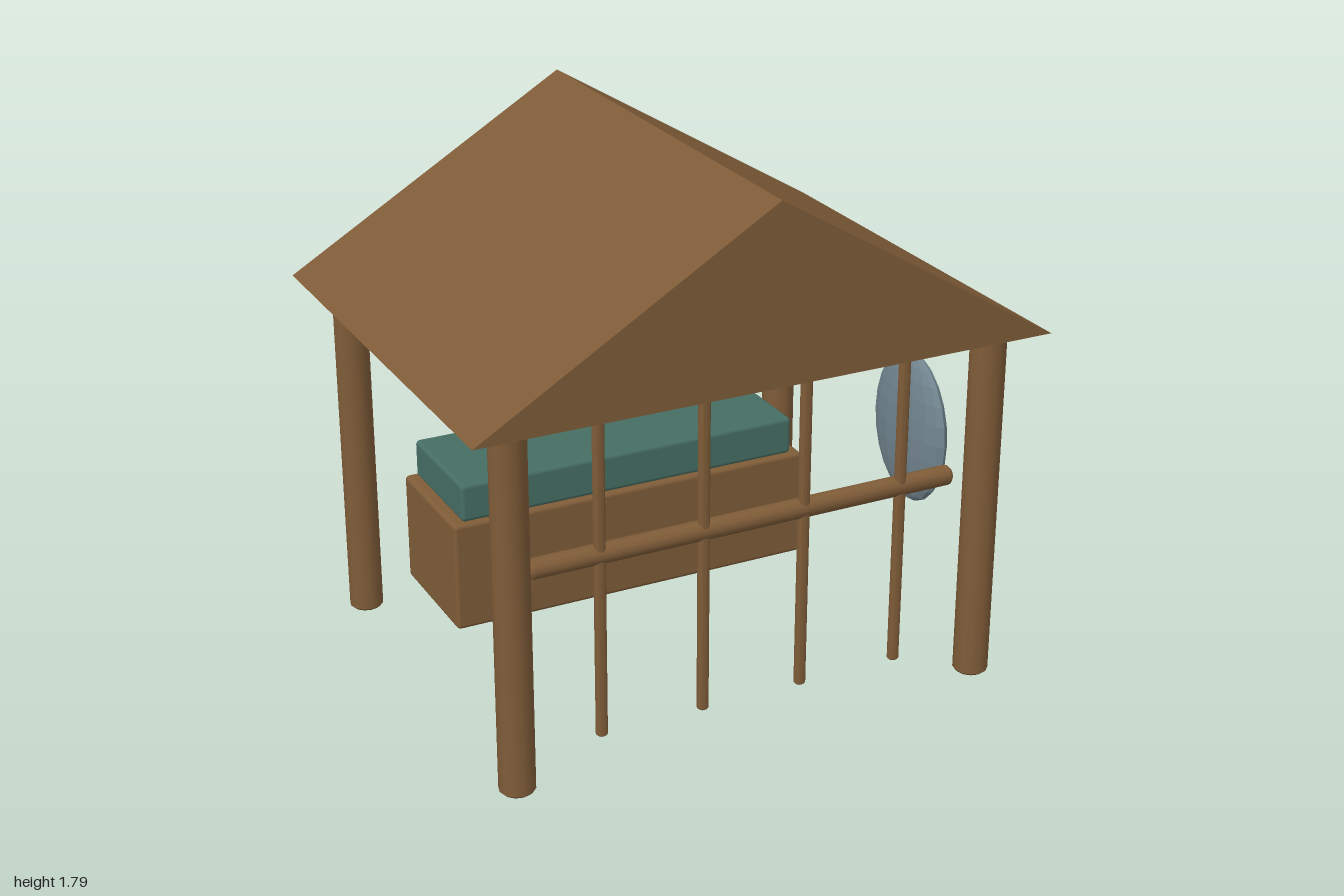
import * as THREE from 'three';
import { toCreasedNormals } from 'three/addons/utils/BufferGeometryUtils.js';
import { RoundedBoxGeometry } from 'three/addons/geometries/RoundedBoxGeometry.js';

const mat = (name, color, flatShading = false) => {
  const m = new THREE.MeshStandardMaterial({ color, flatShading });
  m.name = name;
  return m;
};

// Upright pole with chamfered ends, standing on y = 0
function pole(radius, height, bevel, sides = 12) {
  const profile = [
    [0, 0], [radius - bevel, 0], [radius, bevel],
    [radius, height - bevel], [radius - bevel, height], [0, height],
  ].map(([x, y]) => new THREE.Vector2(x, y));
  return toCreasedNormals(new THREE.LatheGeometry(profile, sides), 0.6);
}

export function createModel() {
  const wood = mat('wood', 0x7f5c38);
  const cloth = mat('teal cloth', 0x466e64);
  const metal = mat('slate metal', 0x72858f, true);
  const model = new THREE.Group();
  model.name = 'shelter';
  const midX = -0.03;

  const add = (name, geometry, material, x, y, z) => {
    const mesh = new THREE.Mesh(geometry, material);
    mesh.name = name;
    mesh.position.set(x, y, z);
    model.add(mesh);
    return mesh;
  };

  // Gabled solid roof
  const gable = new THREE.Shape([
    new THREE.Vector2(-0.97, 0), new THREE.Vector2(0.97, 0), new THREE.Vector2(0, 0.58),
  ]);
  const roof = new THREE.ExtrudeGeometry(gable, { depth: 1.556, bevelEnabled: false });
  add('roof', roof, wood, midX, 1.21, -0.778);

  // Corner posts
  const post = pole(0.058, 1.22, 0.008);
  for (const sx of [-1, 1])
    for (const sz of [-1, 1])
      add('cornerPost', post, wood, midX + sx * 0.817, 0, sz * 0.662);

  // Chest and the cushion on it
  add('chest', new RoundedBoxGeometry(1.316, 0.387, 0.455, 2, 0.015), wood, midX, 0.274, -0.427);
  add('cushion', new RoundedBoxGeometry(1.242, 0.135, 0.42, 2, 0.015), cloth, midX, 0.533, -0.427);

  // Row of spears: shaft and tapered head
  const shaft = pole(0.019, 1.09, 0.005);
  const head = new THREE.ConeGeometry(0.044, 0.15, 8);
  for (let i = 0; i < 4; i++) {
    const x = -0.538 + i * 0.351;
    add('spearShaft', shaft, wood, x, 0.08, 0.61);
    add('spearHead', head, metal, x, 1.245, 0.61);
  }

  // Rail in front of the spears
  const rail = add('rail', pole(0.033, 1.474, 0.01), wood, midX + 0.737, 0.702, 0.6);
  rail.rotation.z = Math.PI / 2;

  // Faceted oval shield on the left side
  const shield = new THREE.SphereGeometry(1, 16, 12);
  shield.scale(0.054, 0.277, 0.216);
  add('shield', shield, metal, 0.945, 0.587, 0);

  return model;
}
